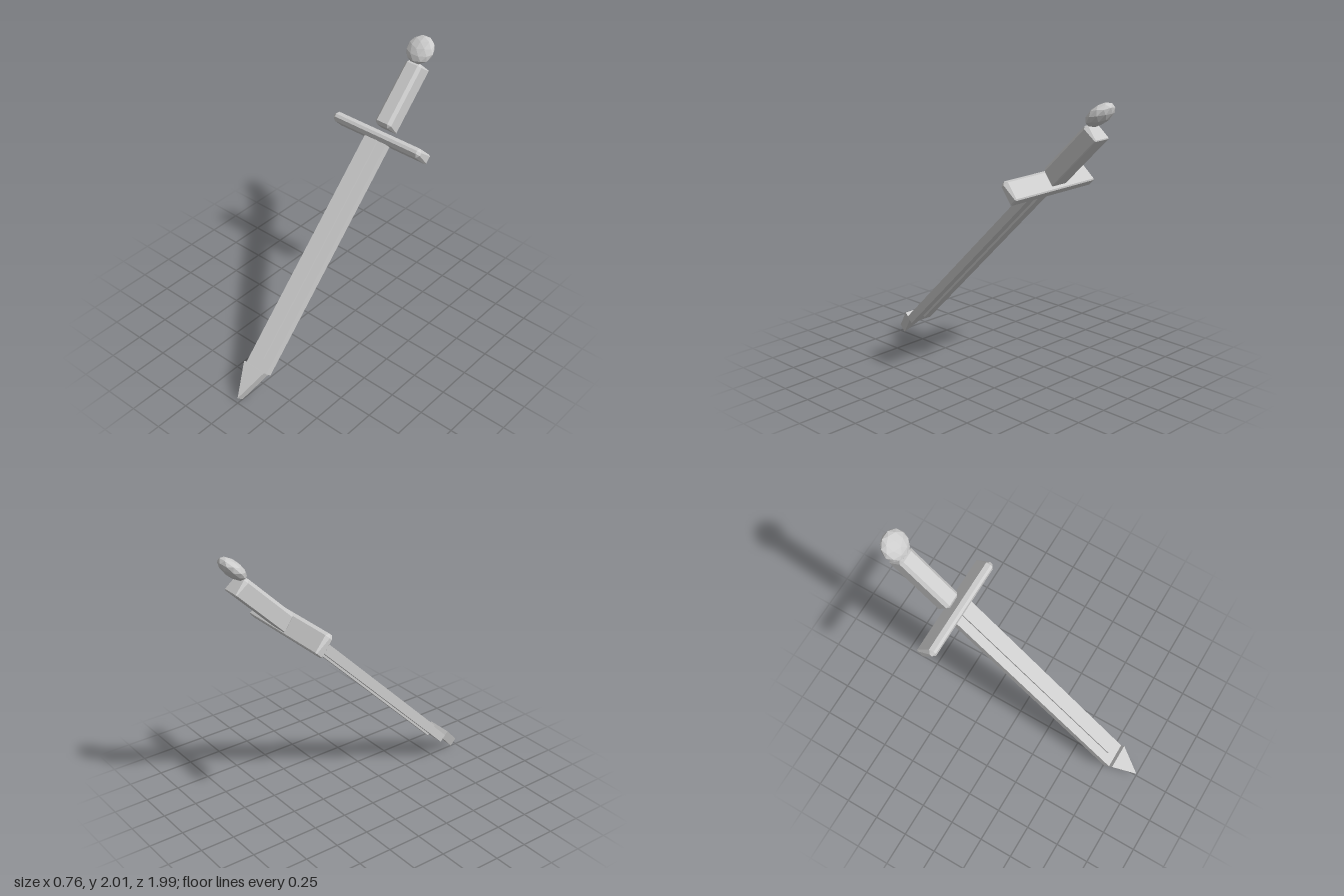
import * as THREE from 'three';
import { ConvexGeometry } from 'three/addons/geometries/ConvexGeometry.js';

const grey = new THREE.MeshStandardMaterial({ color: 0xcccccc });
grey.name = 'steel grey';

// Box with chamfered edges; the front (+z) and back chamfers may differ.
function chamferedBox(w, h, d, front, back) {
  const points = [];
  for (const sx of [-1, 1]) for (const sy of [-1, 1]) for (const sz of [-1, 1]) {
    const b = sz > 0 ? front : back;
    const x = w / 2, y = h / 2, z = d / 2;
    points.push(
      new THREE.Vector3(sx * x, sy * (y - b), sz * (z - b)),
      new THREE.Vector3(sx * (x - b), sy * y, sz * (z - b)),
      new THREE.Vector3(sx * (x - b), sy * (y - b), sz * z));
  }
  return new ConvexGeometry(points);
}

export function createModel() {
  const model = new THREE.Group();
  model.name = 'sword';
  const sword = new THREE.Group();
  sword.name = 'tiltedSword';
  model.add(sword);

  const add = (name, geometry, y, z) => {
    const mesh = new THREE.Mesh(geometry, grey);
    mesh.name = name;
    mesh.position.set(0, y, z);
    sword.add(mesh);
  };

  // Blade and the raised rib that shows on both of its faces
  add('blade', new THREE.BoxGeometry(0.185, 1.773, 0.059), -0.2565, -0.031);
  add('bladeRib', new THREE.BoxGeometry(0.05, 1.69, 0.09), -0.215, -0.031);

  // Triangular point, set slightly forward of the blade
  const triangle = new THREE.Shape();
  triangle.moveTo(-0.0925, 0);
  triangle.lineTo(0, -0.24);
  triangle.lineTo(0.0925, 0);
  triangle.closePath();
  add('bladeTip', new THREE.ExtrudeGeometry(triangle, { depth: 0.064, bevelEnabled: false }), -1.14, -0.032);

  // Cross guard and grip
  add('crossGuard', chamferedBox(0.756, 0.07, 0.158, 0.024, 0.008), 0.65, -0.037);
  add('grip', chamferedBox(0.134, 0.492, 0.132, 0.022, 0.006), 0.964, -0.039);

  // Faceted, flattened pommel
  const pommel = new THREE.IcosahedronGeometry(1, 1);
  pommel.rotateX(-0.4);
  pommel.scale(0.106, 0.105, 0.052);
  pommel.computeVertexNormals();
  add('pommel', pommel, 1.3, 0.02);

  // Lean the whole sword back by 45 degrees
  sword.rotation.x = -Math.PI / 4;
  sword.position.y = 1;
  return model;
}
